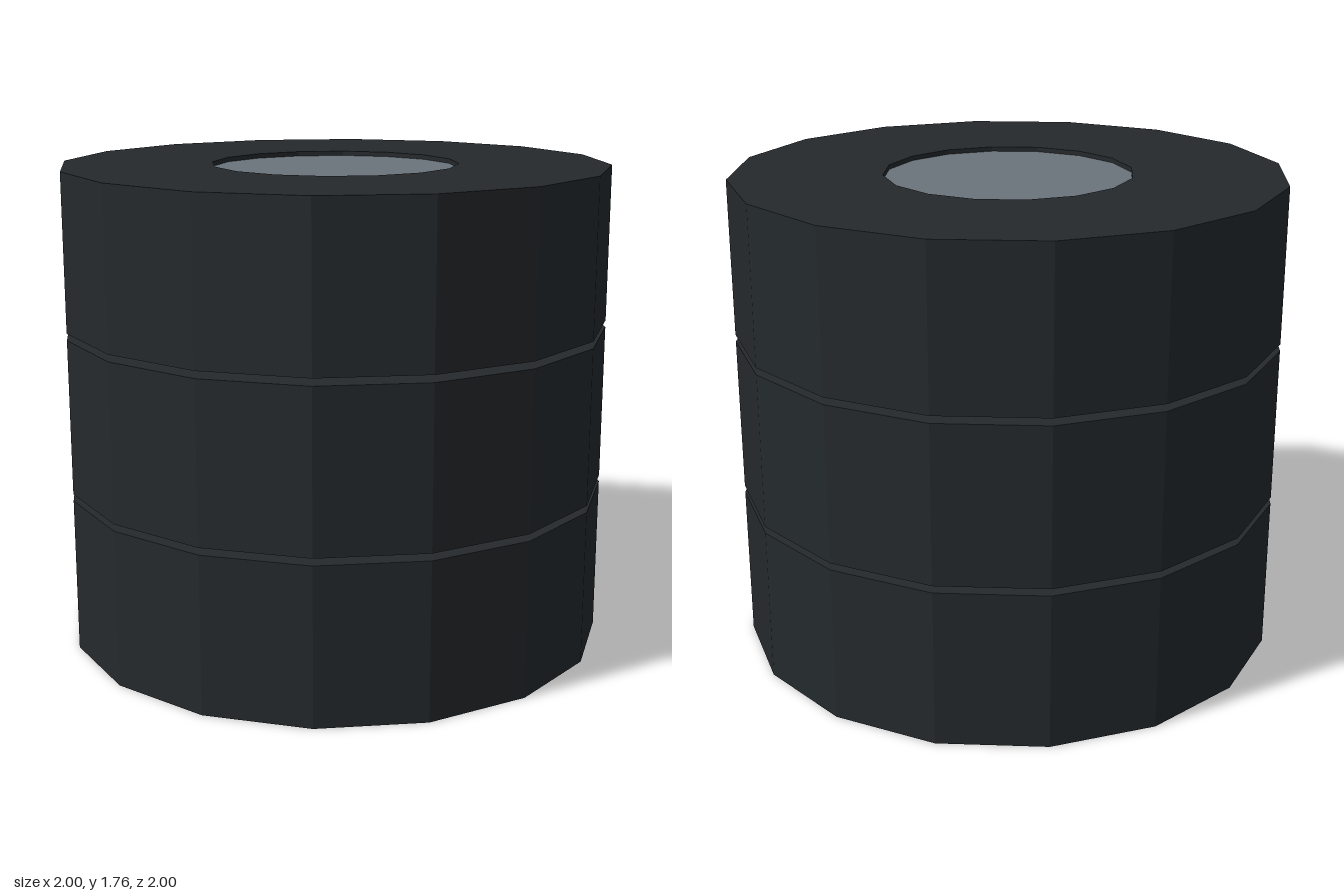
import * as THREE from 'three';

const SIDES = 16;
const OUTER = 1;
const HOLE = 0.45;
const HEIGHT = 0.57;
const PITCH = 0.595; // tyre height plus the small gap

export function createModel() {
  const model = new THREE.Group();
  model.name = 'tyreStack';

  const rubber = new THREE.MeshStandardMaterial({ color: 0x24292c, flatShading: true });
  const filling = new THREE.MeshStandardMaterial({
    color: 0x6b737c, flatShading: true, side: THREE.DoubleSide,
  });

  // Closed rectangular section, turned into a low-poly ring
  const section = [
    [HOLE, 0], [OUTER, 0], [OUTER, HEIGHT], [HOLE, HEIGHT], [HOLE, 0],
  ].map(([r, y]) => new THREE.Vector2(r, y));
  const ring = new THREE.LatheGeometry(section, SIDES);

  // Three tyres with narrow gaps between them
  ['lowerTyre', 'middleTyre', 'upperTyre'].forEach((name, i) => {
    const tyre = new THREE.Mesh(ring, rubber);
    tyre.name = name;
    tyre.position.y = i * PITCH;
    model.add(tyre);
  });

  // Flat disc closing the hole just below the top rim
  const disc = new THREE.Mesh(new THREE.CircleGeometry(HOLE, SIDES), filling);
  disc.name = 'topDisc';
  disc.rotation.x = -Math.PI / 2;
  disc.position.y = 2 * PITCH + HEIGHT - 0.017;
  model.add(disc);

  return model;
}
